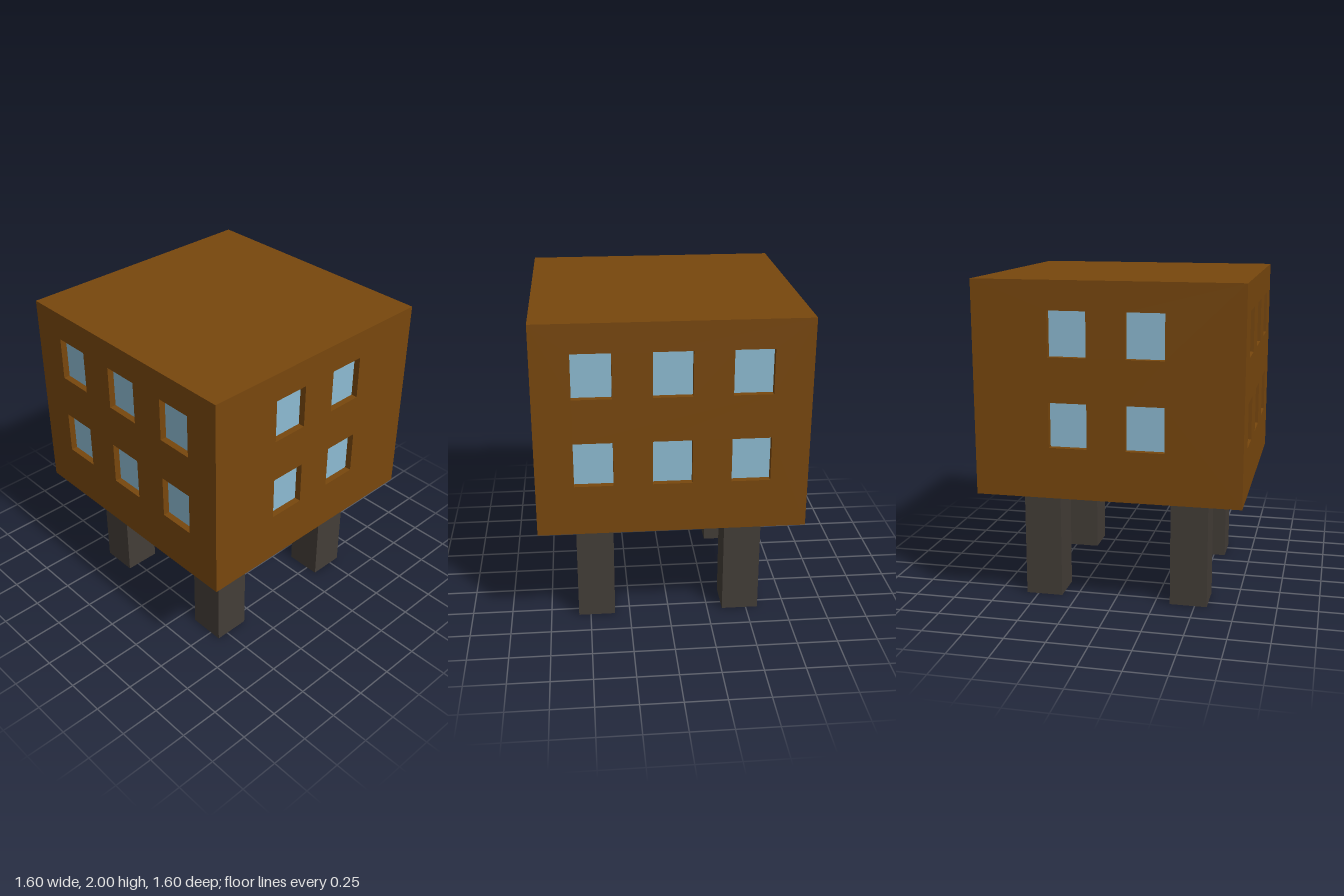
import * as THREE from 'three';
import { mergeGeometries } from 'three/addons/utils/BufferGeometryUtils.js';

const HALF = 0.8, BOTTOM = 0.71, TOP = 2;
const WIN_W = 0.23, WIN_H = 0.27, RECESS = 0.04;
const ROWS = [1.153, 1.691];
const Q = Math.PI / 2;

const wood = new THREE.MeshStandardMaterial({ color: 0x78470d });
wood.name = 'brown wood';
const glass = new THREE.MeshStandardMaterial({ color: 0x8dbbd2 });
glass.name = 'blue glass';
const post = new THREE.MeshStandardMaterial({ color: 0x433d37 });
post.name = 'dark post';

// Rectangle path centred on (x, y)
function rect(path, x, y, w, h) {
  path.moveTo(x - w / 2, y - h / 2);
  path.lineTo(x + w / 2, y - h / 2);
  path.lineTo(x + w / 2, y + h / 2);
  path.lineTo(x - w / 2, y + h / 2);
  path.closePath();
  return path;
}

// Four inward faces that line one window opening
function reveals(x, y) {
  const side = (s) => new THREE.PlaneGeometry(RECESS, WIN_H)
    .rotateY(-s * Q).translate(x + s * WIN_W / 2, y, -RECESS / 2);
  const sill = (s) => new THREE.PlaneGeometry(WIN_W, RECESS)
    .rotateX(s * Q).translate(x, y + s * WIN_H / 2, -RECESS / 2);
  return [side(-1), side(1), sill(-1), sill(1)];
}

export function createModel() {
  const model = new THREE.Group();
  model.name = 'houseOnPosts';
  const shell = [];

  // Walls: two window columns on front and back, three on the sides
  for (let i = 0; i < 4; i++) {
    const columns = i % 2 ? [-0.46, 0, 0.46] : [-0.23, 0.23];
    const place = (g) => g.translate(0, 0, HALF).rotateY(i * Q);
    const wall = rect(new THREE.Shape(), 0, (TOP + BOTTOM) / 2, HALF * 2, TOP - BOTTOM);
    const panes = [];
    for (const x of columns) for (const y of ROWS) {
      wall.holes.push(rect(new THREE.Path(), x, y, WIN_W, WIN_H));
      shell.push(...reveals(x, y).map(place));
      panes.push(place(new THREE.PlaneGeometry(WIN_W, WIN_H).translate(x, y, -RECESS)));
    }
    shell.push(place(new THREE.ShapeGeometry(wall)));
    const windows = new THREE.Mesh(mergeGeometries(panes), glass);
    windows.name = ['front', 'left', 'back', 'right'][i] + 'Windows';
    model.add(windows);
  }

  // Roof and floor close the shell
  shell.push(new THREE.PlaneGeometry(HALF * 2, HALF * 2).rotateX(-Q).translate(0, TOP, 0));
  shell.push(new THREE.PlaneGeometry(HALF * 2, HALF * 2).rotateX(Q).translate(0, BOTTOM, 0));
  const body = new THREE.Mesh(mergeGeometries(shell), wood);
  body.name = 'body';
  model.add(body);

  // Corner posts
  const legGeometry = new THREE.BoxGeometry(0.23, BOTTOM, 0.23);
  for (const x of [-1, 1]) for (const z of [-1, 1]) {
    const leg = new THREE.Mesh(legGeometry, post);
    leg.name = (z > 0 ? 'front' : 'back') + (x > 0 ? 'Left' : 'Right') + 'Leg';
    leg.position.set(x * 0.46, BOTTOM / 2, z * 0.46);
    model.add(leg);
  }
  return model;
}
